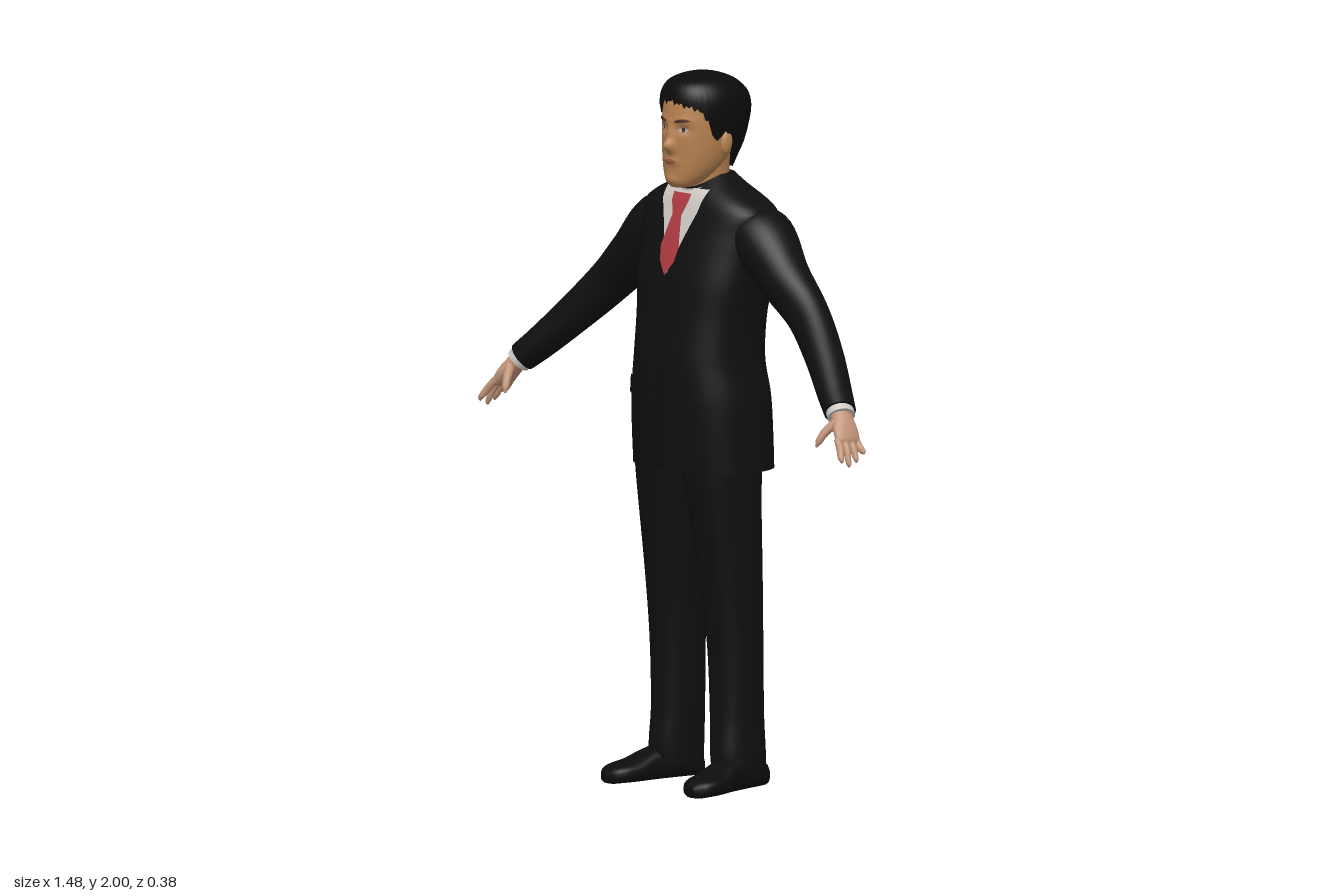
import * as THREE from 'three';

const V = (x, y, z) => new THREE.Vector3(x, y, z);
const mat = (name, color, side = THREE.FrontSide) => {
  const m = new THREE.MeshStandardMaterial({ color, side });
  m.name = name;
  return m;
};

// Smooth interpolation of a table whose first column is the height
function at(rows, y) {
  let i = 0;
  while (i < rows.length - 2 && y > rows[i + 1][0]) i++;
  const a = rows[i], b = rows[i + 1], h = b[0] - a[0];
  const t = Math.min(1, Math.max(0, (y - a[0]) / h));
  const p = rows[Math.max(0, i - 1)], q = rows[Math.min(rows.length - 1, i + 2)];
  return a.map((v, k) => {
    const m0 = (b[k] - p[k]) / (b[0] - p[0]) * h, m1 = (q[k] - v) / (q[0] - a[0]) * h;
    const t2 = t * t, t3 = t2 * t;
    return (2 * t3 - 3 * t2 + 1) * v + (t3 - 2 * t2 + t) * m0 + (3 * t2 - 2 * t3) * b[k] + (t3 - t2) * m1;
  });
}

// Closed rings joined into a skin, with optional flat end caps
function skin(rings, caps = true) {
  const n = rings[0].length, pos = [], idx = [];
  rings.forEach(r => r.forEach(p => pos.push(p.x, p.y, p.z)));
  for (let i = 0; i < rings.length - 1; i++) for (let j = 0; j < n; j++) {
    const a = i * n + j, b = i * n + (j + 1) % n;
    idx.push(a, b, a + n, b, b + n, a + n);
  }
  if (caps) [rings[0], rings[rings.length - 1]].forEach((r, top) => {
    const c = pos.length / 3, mid = V(0, 0, 0);
    r.forEach(p => mid.addScaledVector(p, 1 / n));
    [mid, ...r].forEach(p => pos.push(p.x, p.y, p.z));
    for (let j = 0; j < n; j++) {
      const a = c + 1 + j, b = c + 1 + (j + 1) % n;
      if (top) idx.push(c, a, b); else idx.push(c, b, a);
    }
  });
  const g = new THREE.BufferGeometry();
  g.setAttribute('position', new THREE.Float32BufferAttribute(pos, 3));
  g.setIndex(idx);
  g.computeVertexNormals();
  return g;
}

const pw = (v, e) => Math.sign(v) * Math.pow(Math.abs(v), 2 / e);
// Point on the rounded outline of a row [y, half width, front z, back z, centre x]
function outline(row, th, e, bump) {
  const [y, rx, zf, zb, cx = 0] = row;
  const x = cx + Math.max(0, rx) * pw(Math.sin(th), e);
  const z = (zf + zb) / 2 + (zf - zb) / 2 * pw(Math.cos(th), e);
  return V(x, y, z + (bump && Math.cos(th) > 0 ? bump(x, y) : 0));
}
function loft(rows, steps, n, e, { bump, caps = true } = {}) {
  const y0 = rows[0][0], y1 = rows[rows.length - 1][0], rings = [];
  for (let i = 0; i <= steps; i++) {
    const row = at(rows, y0 + (y1 - y0) * i / steps);
    row[0] = y0 + (y1 - y0) * i / steps;
    rings.push(Array.from({ length: n }, (_, j) => outline(row, j / n * Math.PI * 2, e, bump)));
  }
  return skin(rings, caps);
}
// Front surface of a loft at (x, y)
const frontZ = (rows, e, bump) => (x, y) => {
  const [, rx, zf, zb] = at(rows, y);
  const k = Math.min(1, Math.abs(x / rx));
  return (zf + zb) / 2 + (zf - zb) / 2 * Math.pow(1 - Math.pow(k, e), 1 / e) + (bump ? bump(x, y) : 0);
};

// Oval tube along points [x, y, z, radius across, radius in depth]
function sweep(pts, steps = 16, n = 20) {
  const path = new THREE.CatmullRomCurve3(pts.map(p => V(p[0], p[1], p[2])));
  const rad = new THREE.CatmullRomCurve3(pts.map(p => V(p[3], p[4], 0)));
  const rings = [];
  for (let i = 0; i <= steps; i++) {
    const c = path.getPoint(i / steps), r = rad.getPoint(i / steps), t = path.getTangent(i / steps);
    const u = V(0, 0, 1).cross(t).normalize(), v = u.clone().cross(t);
    rings.push(Array.from({ length: n }, (_, j) => {
      const a = j / n * Math.PI * 2;
      return c.clone().addScaledVector(u, r.x * Math.sin(a)).addScaledVector(v, r.y * Math.cos(a));
    }));
  }
  return skin(rings);
}

// Thin patch laid on a front surface; rows run downwards as [y, x0, x1]
function drape(zAt, rows, off) {
  const pos = [], idx = [], nx = 10, sub = 5, count = (rows.length - 1) * sub;
  for (let i = 0; i <= count; i++) {
    const k = Math.min(rows.length - 2, Math.floor(i / sub)), t = i / sub - k;
    const [y, a, b] = rows[k].map((v, c) => v + (rows[k + 1][c] - v) * t);
    for (let j = 0; j <= nx; j++) {
      const x = a + (b - a) * j / nx;
      pos.push(x, y, zAt(x, y) + off);
      if (i < count && j < nx) {
        const p = i * (nx + 1) + j, q = p + nx + 1;
        idx.push(p, q, p + 1, p + 1, q, q + 1);
      }
    }
  }
  const g = new THREE.BufferGeometry();
  g.setAttribute('position', new THREE.Float32BufferAttribute(pos, 3));
  g.setIndex(idx);
  g.computeVertexNormals();
  return g;
}
const flip = rows => rows.map(([y, a, b]) => [y, -b, -a]);

export function createModel() {
  const D = THREE.DoubleSide;
  const suit = mat('suitBlack', 0x0f0f10, D), hairMat = mat('hairBlack', 0x0b0b0b, D);
  const shoeMat = mat('shoeBlack', 0x0d0d0d), face = mat('faceSkin', 0xb5804f), hand = mat('handSkin', 0xc2947a);
  const shirt = mat('shirtWhite', 0xcfc9c4, D), tieMat = mat('tieRed', 0xb03a42, D);
  const eyeMat = mat('eyeWhite', 0xb0aca8, D), lip = mat('lipBrown', 0x95583c, D), brow = mat('browBrown', 0x4a2f1e, D);
  const model = new THREE.Group();
  model.name = 'man';
  const add = (name, geo, m, parent = model) => {
    const mesh = new THREE.Mesh(geo, m);
    mesh.name = name;
    parent.add(mesh);
    return mesh;
  };
  const pair = (name, zAt, rows, off, m) => {
    add('left' + name, drape(zAt, rows, off), m);
    add('right' + name, drape(zAt, flip(rows), off), m);
  };

  // Jacket
  const torso = [[.895, .21, .13, -.18], [1.0, .208, .138, -.178], [1.1, .203, .143, -.174], [1.2, .187, .145, -.163],
    [1.32, .19, .13, -.165], [1.42, .203, .117, -.18], [1.5, .21, .098, -.186], [1.56, .218, .08, -.185],
    [1.62, .222, .06, -.168], [1.65, .185, .05, -.152], [1.685, .115, .03, -.128], [1.715, .07, .0, -.105]];
  add('jacket', loft(torso, 60, 64, 2.5), suit);
  const chest = frontZ(torso, 2.5);
  pair('Lapel', chest, [[1.68, .082, .1], [1.62, .07, .125], [1.57, .05, .13], [1.44, 0, .045], [1.36, 0, .004]], .006, suit);
  pair('PocketFlap', chest, [[1.14, .085, .175], [1.095, .085, .178]], .005, suit);
  add('frontSeam', drape(chest, [[1.36, -.002, .002], [.9, -.002, .002]], .002), hairMat);

  // Shirt front, collar and tie
  add('shirtFront', drape(chest, [[1.675, -.085, .085], [1.62, -.07, .07], [1.55, -.042, .042], [1.445, 0, 0]], .004), shirt);
  pair('CollarWing', chest, [[1.68, .03, .083], [1.645, .03, .077], [1.595, .05, .054]], .009, shirt);
  add('tie', drape(chest, [[1.665, -.035, .035], [1.645, -.033, .033], [1.605, -.018, .018], [1.52, -.036, .036],
    [1.48, -.028, .028], [1.44, 0, 0]], .012), tieMat);
  const collar = add('shirtCollar', loft([[0, .082, .075, -.075], [.036, .071, .066, -.067]], 3, 40, 2, { caps: false }), shirt);
  collar.position.set(0, 1.67, -.03);
  collar.rotation.x = .42;

  // Neck and head, with the features raised from the face
  add('neck', loft([[1.6, .066, .01, -.095], [1.66, .065, .028, -.095], [1.7, .065, .038, -.098], [1.78, .07, .045, -.1]], 10, 32, 2), face);
  const g = (v, s) => Math.exp(-(v / s) * (v / s));
  const bump = (x, y) => .028 * g(x, .014) * g(y - 1.802, .018) + .012 * g(x, .011) * g(y - 1.838, .024)
    - .009 * g(Math.abs(x) - .038, .02) * g(y - 1.848, .013) + .003 * g(Math.abs(x) - .035, .025) * g(y - 1.875, .01)
    + .006 * g(x, .025) * g(y - 1.758, .01) + .005 * g(x, .025) * g(y - 1.706, .012);
  const head = [[1.684, .028, .088, .03], [1.695, .046, .097, .0], [1.72, .066, .1, -.04], [1.75, .08, .1, -.075],
    [1.79, .09, .1, -.105], [1.84, .096, .1, -.13], [1.88, .098, .098, -.14], [1.93, .094, .085, -.135], [1.96, .07, .06, -.1]];
  add('head', loft(head, 70, 96, 2.15, { bump }), face);
  const faceZ = frontZ(head, 2.15, bump);
  pair('Eye', faceZ, [[1.855, .032, .046], [1.85, .024, .054], [1.845, .026, .052], [1.841, .034, .044]], .003, eyeMat);
  pair('Iris', faceZ, [[1.855, .035, .043], [1.842, .035, .043]], .0045, brow);
  pair('Brow', faceZ, [[1.879, .034, .05], [1.873, .018, .062], [1.868, .016, .03]], .003, brow);
  add('lips', drape(faceZ, [[1.765, -.008, .008], [1.758, -.025, .025], [1.751, -.012, .012]], .002), lip);
  for (const s of [1, -1]) {
    const ear = add(s > 0 ? 'leftEar' : 'rightEar', new THREE.SphereGeometry(1, 20, 14), face);
    ear.scale.set(.012, .032, .02);
    ear.position.set(s * .099, 1.808, -.018);
    ear.rotation.x = -.15;
  }

  // Hair, hanging lower at the sideburns and the nape
  const hair = [[1.72, .07, .03, -.1], [1.76, .085, .07, -.122], [1.8, .098, .09, -.143], [1.85, .108, .1, -.158],
    [1.9, .114, .102, -.165], [1.94, .109, .1, -.153], [1.97, .09, .085, -.122], [1.985, .068, .06, -.092],
    [1.996, .035, .02, -.055], [2, .002, -.015, -.019]];
  const line = [[0, 1.925], [.75, 1.905], [1, 1.87], [1.12, 1.83], [1.25, 1.815], [1.36, 1.83], [1.45, 1.845],
    [1.65, 1.8], [1.85, 1.745], [2.3, 1.73], [3.15, 1.725]];
  const edge = th => {
    const k = line.findIndex(p => p[0] > th), [a, b] = [line[k - 1], line[k]];
    return a[1] + (b[1] - a[1]) * (th - a[0]) / (b[0] - a[0]);
  };
  const hn = 96, hairRings = [];
  for (let i = 0; i <= 30; i++) hairRings.push(Array.from({ length: hn }, (_, j) => {
    const th = j / hn * Math.PI * 2, side = Math.min(th, Math.PI * 2 - th);
    const low = edge(side) + (side < 1.1 ? [0, .008, -.006, .004][j % 4] : 0);
    const y = low + (2 - low) * Math.sin(i / 30 * Math.PI / 2), row = at(hair, y);
    row[0] = y;
    return outline(row, th, 2.1);
  }));
  add('hair', skin(hairRings, false), hairMat);

  // One arm and one leg, mirrored for the other side
  const left = new THREE.Group();
  left.name = 'leftLimbs';
  add('sleeve', sweep([[.13, 1.58, -.07, .06, .08], [.2, 1.545, -.062, .088, .095], [.3, 1.45, -.05, .075, .073],
    [.4, 1.36, -.045, .065, .057], [.5, 1.265, -.012, .055, .055], [.6, 1.168, .037, .046, .05], [.645, 1.128, .06, .042, .046]], 36, 32), suit, left);
  add('shirtCuff', sweep([[.63, 1.142, .053, .037, .041], [.656, 1.116, .065, .036, .04]], 2, 28), shirt, left);
  add('palm', sweep([[.64, 1.132, .06, .027, .03], [.665, 1.107, .068, .025, .033], [.686, 1.08, .077, .021, .041],
    [.702, 1.055, .083, .016, .041], [.708, 1.045, .085, .008, .034]], 14, 24), hand, left);
  [1.018, .998, .988, 1.002].forEach((tip, i) => {
    const z = .052 + i * .0215, d = (i - 1) * .006;
    add('finger', sweep([[.697, 1.062, z, .01, .011], [.718, 1.035, z + d / 2 + .004, .0105, .0105], [.728, (tip + 1.035) / 2, z + d + .006, .009, .009],
      [.734, tip + .008, z + d + .008, .007, .007], [.735, tip, z + d + .008, .002, .002]], 12, 12), hand, left);
  });
  add('thumb', sweep([[.664, 1.105, .09, .014, .014], [.646, 1.077, .117, .012, .012], [.637, 1.052, .132, .01, .01],
    [.632, 1.036, .138, .003, .003]], 12, 12), hand, left);
  add('trouserLeg', loft([[.048, .059, .042, -.122, .126], [.1, .061, .046, -.122, .125], [.2, .063, .04, -.118, .12],
    [.4, .068, .045, -.115, .117], [.6, .076, .067, -.115, .111], [.8, .089, .096, -.115, .101], [.9, .096, .11, -.12, .095],
    [1, .098, .11, -.12, .095]], 40, 36, 2.3), suit, left);
  const shoe = add('shoe', loft([[-.125, .03, 0, -.05], [-.11, .045, 0, -.07], [-.03, .05, 0, -.1], [.04, .052, 0, -.086],
    [.1, .058, 0, -.062], [.15, .052, 0, -.052], [.178, .035, 0, -.042], [.19, .01, -.005, -.03]], 36, 32, 2.8).rotateX(Math.PI / 2), shoeMat, left);
  shoe.position.x = .145;
  shoe.rotation.y = .17;
  const right = left.clone();
  right.name = 'rightLimbs';
  right.scale.x = -1;
  model.add(left, right);
  return model;
}
